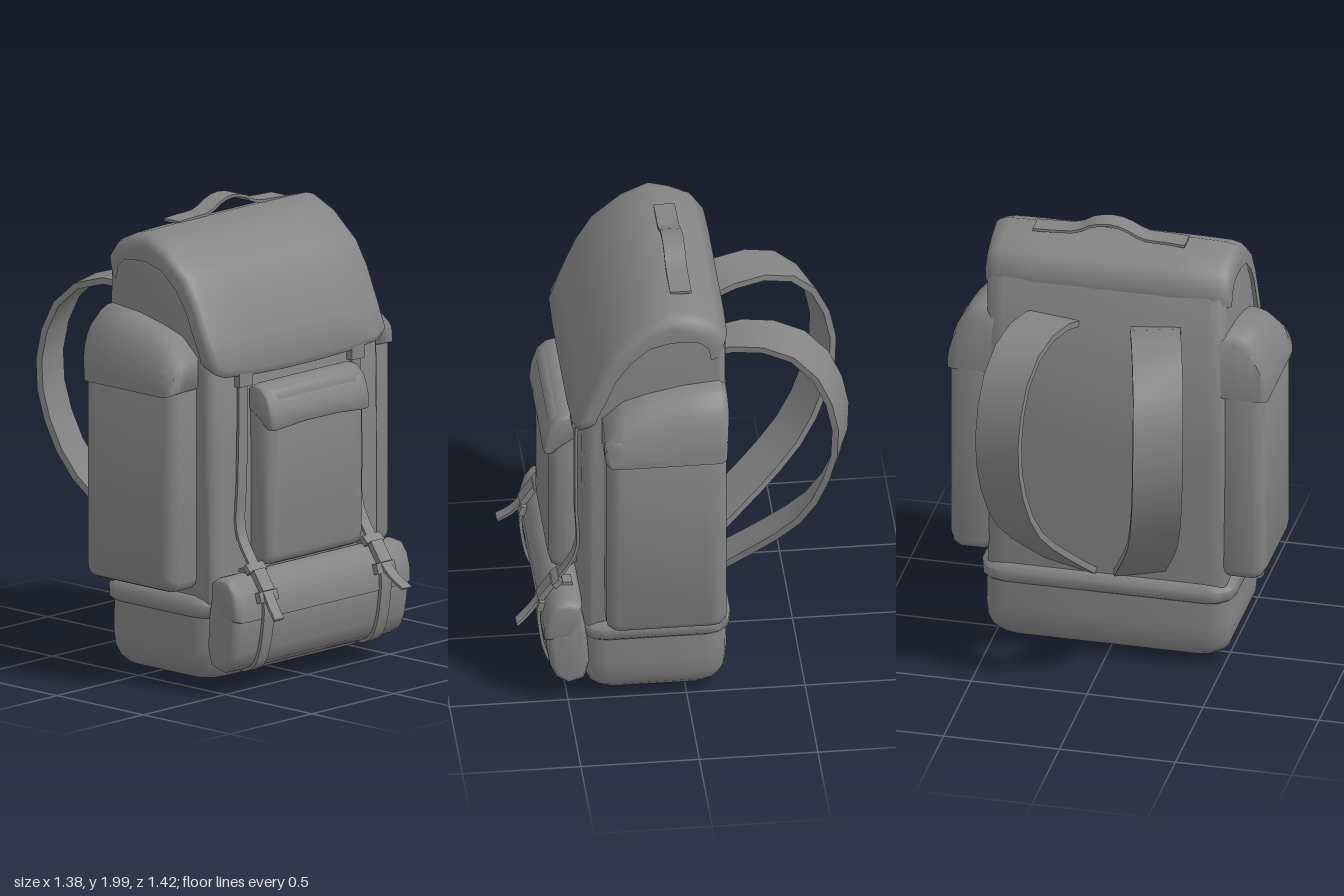
import * as THREE from 'three';
import { toCreasedNormals } from 'three/addons/utils/BufferGeometryUtils.js';

const material = new THREE.MeshStandardMaterial({ color: 0x848484 });
const V = (x, y, z) => new THREE.Vector3(x, y, z);

// Skin a row of equal-sized loops and cap both ends; flips itself to face outward.
function skin(name, rings, crease = 0.8) {
  const n = rings[0].length, last = (rings.length - 1) * n;
  const points = rings.flat();
  const tris = [];
  const quad = (a, b, c, d) => tris.push([a, b, c], [a, c, d]);
  for (let r = 0; r < rings.length - 1; r++)
    for (let i = 0; i < n; i++) {
      const j = (i + 1) % n;
      quad(r * n + i, r * n + j, (r + 1) * n + j, (r + 1) * n + i);
    }
  for (let i = 0; i < n / 2 - 1; i++) {
    quad(n - 1 - i, n - 2 - i, i + 1, i);
    quad(last + i, last + i + 1, last + n - 2 - i, last + n - 1 - i);
  }
  let volume = 0;
  for (const [a, b, c] of tris) volume += points[a].dot(points[b].clone().cross(points[c]));
  const index = tris.flatMap(([a, b, c]) => (volume < 0 ? [a, c, b] : [a, b, c]));
  const geometry = new THREE.BufferGeometry().setFromPoints(points);
  geometry.setIndex(index);
  const mesh = new THREE.Mesh(toCreasedNormals(geometry, crease), material);
  mesh.name = name;
  return mesh;
}

// Padded solid: a 2D profile repeated at stations [position, inset].
function padded(name, profile, stations, place, crease = 0.95) {
  const box = new THREE.Box2().setFromPoints(profile.map(([a, b]) => new THREE.Vector2(a, b)));
  const c = box.getCenter(new THREE.Vector2()), h = box.getSize(new THREE.Vector2()).multiplyScalar(0.5);
  const rings = stations.map(([t, d]) => profile.map(([a, b]) =>
    place(c.x + (a - c.x) * (1 - d / h.x), c.y + (b - c.y) * (1 - d / h.y), t)));
  return skin(name, rings, crease);
}

// Stations for a solid symmetric in x, from half of them (outermost first).
const mirrored = (half) => [...half.map(([t, d]) => [-t, d]), ...half.slice().reverse()];
const alongX = (z, y, x) => V(x, y, z);
const alongY = (x, z, y) => V(x, y, z);
const alongZ = (x, y, z) => V(x, y, z);

function roundedRect(a0, a1, b0, b1, r, n = 3) {
  const out = [];
  [[a1 - r, b1 - r], [a0 + r, b1 - r], [a0 + r, b0 + r], [a1 - r, b0 + r]].forEach(([a, b], k) => {
    for (let i = 0; i <= n; i++) {
      const t = (k + i / n) * Math.PI / 2;
      out.push([a + r * Math.cos(t), b + r * Math.sin(t)]);
    }
  });
  return out;
}

// Flat strap along a smooth path, with a fixed width vector.
function ribbon(name, path, width, thickness, steps = 28) {
  const curve = new THREE.CatmullRomCurve3(path, false, 'centripetal');
  const w = width.clone().multiplyScalar(0.5);
  const rings = [];
  for (let i = 0; i <= steps; i++) {
    const p = curve.getPointAt(i / steps);
    const n = curve.getTangentAt(i / steps).cross(width).setLength(thickness / 2);
    rings.push([[1, 1], [-1, 1], [-1, -1], [1, -1]].map(([u, v]) =>
      p.clone().addScaledVector(w, u).addScaledVector(n, v)));
  }
  return skin(name, rings);
}

function block(name, size, position, tilt = 0) {
  const mesh = new THREE.Mesh(new THREE.BoxGeometry(...size), material);
  mesh.name = name;
  mesh.position.set(...position);
  mesh.rotation.x = tilt;
  return mesh;
}

export function createModel() {
  const model = new THREE.Group();
  model.name = 'backpack';

  // Main compartment, with its top curving under the lid
  model.add(padded('mainBody', [
    [-0.165, 0.36], [-0.175, 1.0], [-0.17, 1.79], [-0.1, 1.855], [0.05, 1.865], [0.16, 1.83],
    [0.26, 1.745], [0.33, 1.645], [0.39, 1.5], [0.435, 1.38], [0.44, 1.0], [0.44, 0.36],
  ], mirrored([[0.518, 0.045], [0.512, 0.025], [0.49, 0.008], [0.44, 0]]), alongX));

  // Lid: a thick curved shell running into the back, its front edge lower in the middle
  model.add(padded('lid', [
    [-0.163, 1.73], [-0.179, 1.8], [-0.13, 1.87], [-0.04, 1.912], [0.05, 1.937], [0.17, 1.885],
    [0.3, 1.775], [0.37, 1.66], [0.43, 1.51], [0.482, 1.37], [0.465, 1.34],
    [0.435, 1.35], [0.43, 1.38], [0.38, 1.5], [0.33, 1.63], [0.26, 1.73], [0.16, 1.82],
    [0.05, 1.85], [-0.04, 1.85], [-0.1, 1.84], [-0.145, 1.8], [-0.155, 1.73],
  ], mirrored([[0.53, 0.06], [0.524, 0.036], [0.505, 0.016], [0.465, 0.004], [0.3, 0], [0.1, 0]]),
  (z, y, x) => {
    const nearEdge = z > 0.3 ? THREE.MathUtils.clamp((1.6 - y) / 0.22, 0, 1) : 0;
    return V(x, y + 0.02 * nearEdge * (x / 0.5) ** 2, z);
  }));

  // Rounded base with a shallow keel, and the band above it
  model.add(padded('base', roundedRect(-0.535, 0.535, -0.175, 0.44, 0.1),
    [[0.36, 0.003], [0.2, 0], [0.13, 0.006], [0.08, 0.025], [0.05, 0.055], [0.036, 0.1], [0.008, 0.295]], alongY));
  model.add(padded('baseBand', roundedRect(-0.548, 0.548, -0.19, 0.45, 0.1),
    [[0.322, 0.014], [0.334, 0.002], [0.38, 0], [0.412, 0.028]], alongY));

  // Side pockets with drooping flaps
  for (const s of [-1, 1]) {
    const pocket = new THREE.Group();
    pocket.name = s > 0 ? 'leftSidePocket' : 'rightSidePocket';
    pocket.add(padded('pocketBody', roundedRect(-0.155, 0.352, 0.44, 1.42, 0.045),
      [[0.46, 0.02], [0.53, 0], [0.63, 0], [0.66, 0.012], [0.678, 0.04]],
      (z, y, x) => V(s * x, y, z)));
    const droop = (x) => (1 - Math.max(0, (x - 0.5) / 0.192) ** 3) ** 0.6;
    pocket.add(padded('pocketFlap', [
      [-0.16, 1.3], [-0.165, 1.56], [-0.135, 1.6], [0.02, 1.585], [0.16, 1.555],
      [0.27, 1.52], [0.36, 1.44], [0.358, 1.31], [0.32, 1.285], [-0.12, 1.285],
    ], [[0.46, 0], [0.55, 0], [0.59, 0], [0.62, 0], [0.645, 0.002], [0.665, 0.006], [0.68, 0.014], [0.689, 0.028]],
    (z, y, x) => V(s * x, 1.285 + (y - 1.285) * droop(x), z), 1.1));
    model.add(pocket);
  }

  // Front pocket and its flap
  model.add(padded('frontPocket', roundedRect(-0.292, 0.292, 0.53, 1.29, 0.04),
    [[0.43, 0.015], [0.46, 0], [0.52, 0], [0.545, 0.012], [0.556, 0.04]], alongZ));
  model.add(padded('frontPocketFlap', [
    [0.44, 1.29], [0.47, 1.308], [0.51, 1.3], [0.55, 1.262], [0.575, 1.19], [0.582, 1.125],
    [0.575, 1.115], [0.55, 1.12], [0.5, 1.16], [0.44, 1.2],
  ], mirrored([[0.3, 0.015], [0.295, 0.005], [0.27, 0], [0.1, 0]]),
  (z, y, x) => V(x, y + (y < 1.15 ? 0.018 * (1 - (x / 0.3) ** 2) : 0), z), 1.1));

  // Lower front roll and the cover over its upper half
  model.add(padded('lowerRoll', [
    [0.45, 0.495], [0.49, 0.51], [0.54, 0.5], [0.575, 0.45], [0.595, 0.38], [0.595, 0.3],
    [0.577, 0.19], [0.55, 0.13], [0.5, 0.1], [0.43, 0.12], [0.41, 0.2], [0.42, 0.35],
  ], mirrored([[0.53, 0.035], [0.525, 0.015], [0.5, 0.002], [0.46, 0]]), alongX));
  model.add(padded('rollCover', [
    [0.44, 0.49], [0.46, 0.505], [0.495, 0.515], [0.546, 0.506], [0.583, 0.455], [0.602, 0.385],
    [0.602, 0.33], [0.59, 0.327], [0.5, 0.34], [0.44, 0.4],
  ], mirrored([[0.533, 0.025], [0.528, 0.01], [0.5, 0.001], [0.46, 0]]), alongX));

  for (const s of [-1, 1]) {
    const x = s * 0.357;
    const side = s > 0 ? 'left' : 'right';

    // Closing strap with a loose tail, roll strap and buckles
    const closure = new THREE.Group();
    closure.name = side + 'ClosingStrap';
    closure.add(ribbon('strap', [
      V(s * 0.342, 1.37, 0.45), V(s * 0.345, 1.2, 0.452), V(s * 0.352, 0.9, 0.452), V(x, 0.68, 0.452),
      V(x, 0.55, 0.525), V(x, 0.46, 0.595), V(s * 0.37, 0.39, 0.65), V(s * 0.39, 0.345, 0.705),
    ], V(0.055, 0, 0), 0.012));
    closure.add(ribbon('rollStrap', [
      V(x, 0.52, 0.47), V(x, 0.517, 0.545), V(x, 0.455, 0.592), V(x, 0.385, 0.611), V(x, 0.3, 0.606),
      V(x, 0.19, 0.585), V(x, 0.125, 0.555), V(x, 0.095, 0.5), V(x, 0.11, 0.43),
    ], V(0.062, 0, 0), 0.014));
    closure.add(block('tab', [0.08, 0.07, 0.03], [s * 0.342, 1.34, 0.455]));
    closure.add(block('upperBuckle', [0.105, 0.04, 0.025], [x, 0.535, 0.535], -0.8));
    closure.add(block('buckleCore', [0.07, 0.1, 0.025], [x, 0.488, 0.578], -0.6));
    closure.add(block('lowerBuckle', [0.11, 0.045, 0.025], [x, 0.425, 0.605], -0.3));
    model.add(closure);

    // Shoulder strap bowing out behind, closer together at the bottom
    model.add(ribbon(side + 'ShoulderStrap', [
      [0.21, 1.58, -0.12], [0.225, 1.615, -0.21], [0.265, 1.632, -0.36], [0.3, 1.595, -0.49],
      [0.33, 1.48, -0.6], [0.343, 1.23, -0.668], [0.33, 1.0, -0.63], [0.29, 0.78, -0.525],
      [0.21, 0.58, -0.33], [0.138, 0.42, -0.14],
    ].map(([px, y, z]) => V(s * px, y, z)), V(s * 0.2, 0, 0.065), 0.028, 14));
  }

  // Carrying handle on the lid
  model.add(ribbon('carryHandle', [
    V(-0.31, 1.935, 0.008), V(-0.22, 1.94, 0.008), V(-0.13, 1.944, 0.008), V(-0.06, 1.977, 0.008),
    V(0, 1.994, 0.008), V(0.09, 1.983, 0.008), V(0.15, 1.95, 0.008), V(0.21, 1.941, 0.008), V(0.345, 1.935, 0.008),
  ], V(0, 0, 0.09), 0.012, 16));

  return model;
}
